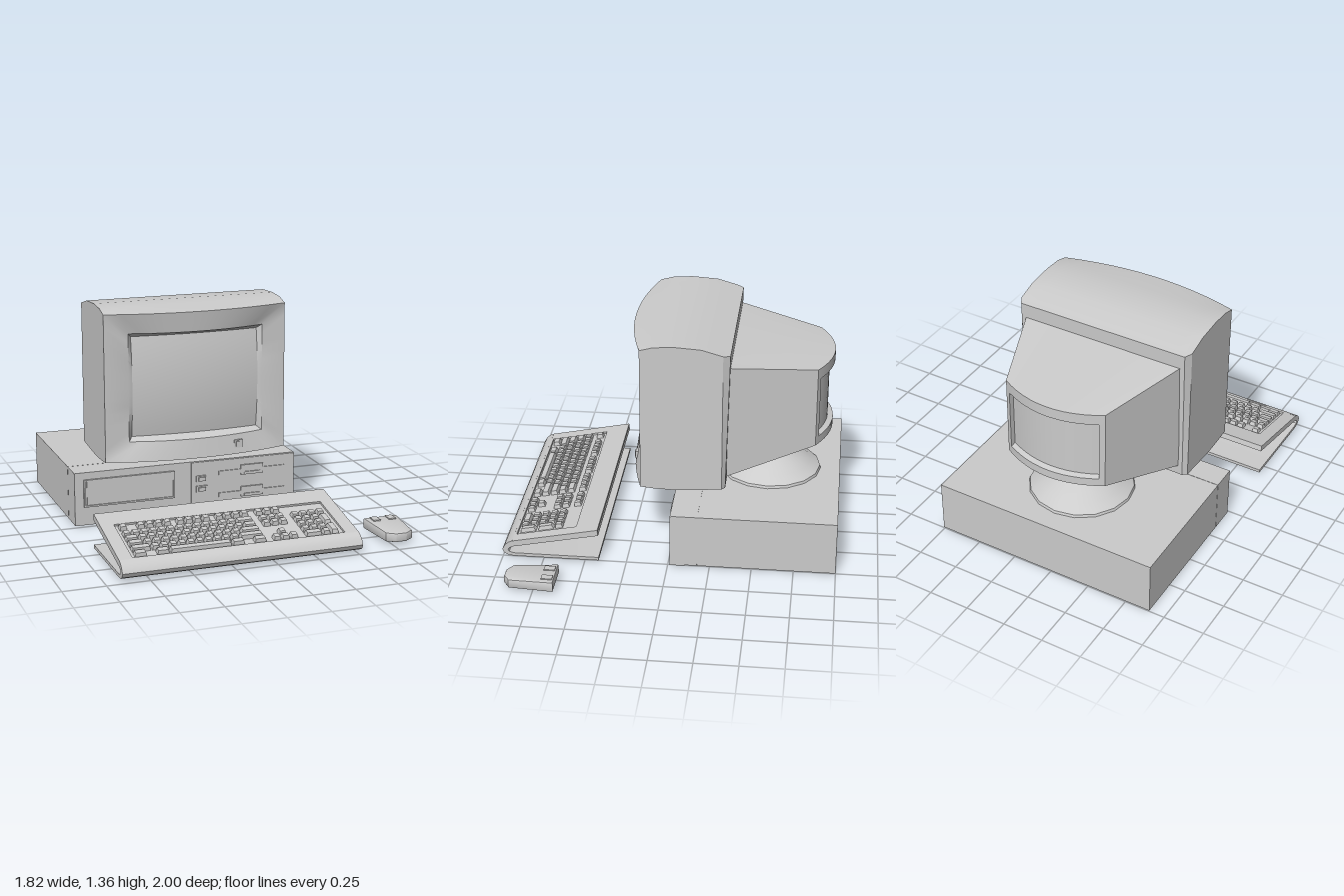
import * as THREE from 'three';
import { mergeGeometries, toCreasedNormals } from 'three/addons/utils/BufferGeometryUtils.js';

const grey = new THREE.MeshStandardMaterial({ color: 0xcccccc });

function add(parent, name, geometry) {
  const mesh = new THREE.Mesh(geometry, grey);
  mesh.name = name;
  parent.add(mesh);
  return mesh;
}

// Box given by its limits
function block(parent, name, x0, x1, y0, y1, z0, z1) {
  const g = new THREE.BoxGeometry(x1 - x0, y1 - y0, z1 - z0);
  g.translate((x0 + x1) / 2, (y0 + y1) / 2, (z0 + z1) / 2);
  return add(parent, name, g);
}

// Rectangular cross-section, counter-clockwise from the front; z may be a function of x and y
function ring(hw, y0, y1, z, n = 12) {
  const corners = [[-hw, y0], [hw, y0], [hw, y1], [-hw, y1]];
  const points = [];
  for (let s = 0; s < 4; s++) {
    const [ax, ay] = corners[s], [bx, by] = corners[(s + 1) % 4];
    for (let i = 0; i < n; i++) {
      const x = ax + (bx - ax) * i / n, y = ay + (by - ay) * i / n;
      points.push([x, y, typeof z === 'function' ? z(x, y) : z]);
    }
  }
  return points;
}

// Skin over rings listed from back to front
function loft(rings) {
  const n = rings[0].length, index = [];
  for (let r = 0; r < rings.length - 1; r++) {
    for (let j = 0; j < n; j++) {
      const a = r * n + j, b = r * n + (j + 1) % n;
      index.push(a, b, b + n, a, b + n, a + n);
    }
  }
  const g = new THREE.BufferGeometry();
  g.setAttribute('position', new THREE.Float32BufferAttribute(rings.flat(2), 3));
  g.setIndex(index);
  return toCreasedNormals(g, 0.5);
}

// Curved panel whose depth follows a function
function curvedPanel(hw, y0, y1, z, facesBack = false) {
  const g = new THREE.PlaneGeometry(2 * hw, y1 - y0, 12, 12);
  if (facesBack) g.rotateY(Math.PI);
  g.translate(0, (y0 + y1) / 2, 0);
  const p = g.attributes.position;
  for (let i = 0; i < p.count; i++) p.setZ(i, z(p.getX(i), p.getY(i)));
  g.computeVertexNormals();
  return g;
}

function buildMonitor() {
  const g = new THREE.Group();
  g.name = 'monitor';
  g.position.x = -0.205;
  const rimZ = x => 0.18 + 0.085 * (1 - (x / 0.56) ** 2);
  const innerZ = x => 0.18 + 0.068 * (1 - (x / 0.42) ** 2);
  const screenZ = (x, y) => 0.2 - 0.025 * (x / 0.39) ** 2 - 0.025 * ((y - 0.88) / 0.3) ** 2;
  const backZ = (x, y) => -0.325 - 0.02 * (y - 0.45) / 0.85;

  // Front shell running into the sloped bezel and screen surround
  add(g, 'monitorShell', loft([
    ring(0.4, 0.6, 1.1, backZ),
    ring(0.535, 0.45, 1.303, backZ),
    ring(0.56, 0.45, 1.31, -0.305),
    ring(0.56, 0.44, 1.345, -0.18),
    ring(0.56, 0.43, 1.355, -0.02),
    ring(0.56, 0.434, 1.347, 0.1),
    ring(0.56, 0.442, 1.325, rimZ),
  ]));
  add(g, 'bezel', loft([
    ring(0.56, 0.442, 1.325, rimZ),
    ring(0.415, 0.558, 1.205, innerZ),
    ring(0.39, 0.58, 1.18, screenZ),
  ]));
  add(g, 'screen', curvedPanel(0.39, 0.58, 1.18, screenZ));
  block(g, 'powerButtonFrame', 0.22, 0.272, 0.478, 0.525, 0.19, 0.245);
  block(g, 'powerButton', 0.229, 0.263, 0.486, 0.517, 0.19, 0.25);

  // Tapered rear housing with a recessed curved panel
  const rearZ = x => -0.845 - 0.095 * (1 - (x / 0.32) ** 2);
  const recessZ = x => rearZ(x) + 0.033;
  add(g, 'rearHousing', loft([
    ring(0.285, 0.71, 1.07, recessZ),
    ring(0.29, 0.7, 1.08, rearZ),
    ring(0.32, 0.65, 1.145, rearZ),
    ring(0.51, 0.513, 1.215, -0.33),
  ]));
  add(g, 'rearPanel', curvedPanel(0.285, 0.71, 1.07, recessZ, true));

  // Swivel foot, collar and tilt ball
  const profile = [[0, 0.336], [0.315, 0.336], [0.31, 0.352], [0.25, 0.39], [0.19, 0.427],
    [0.134, 0.455], [0.138, 0.465], [0.134, 0.478], [0.095, 0.48], [0.13, 0.505],
    [0.16, 0.55], [0.178, 0.61], [0.17, 0.66]];
  const stand = new THREE.LatheGeometry(profile.map(p => new THREE.Vector2(...p)), 16);
  add(g, 'swivelStand', toCreasedNormals(stand, 0.5)).position.z = -0.565;
  return g;
}

function buildComputer() {
  const g = new THREE.Group();
  g.name = 'computer';
  block(g, 'case', -0.905, 0.505, 0.005, 0.334, -1, -0.178);
  block(g, 'frontCover', -0.905, 0.505, 0.005, 0.334, -0.175, -0.02);
  block(g, 'seam', -0.903, 0.503, 0.007, 0.332, -0.18, -0.17);
  block(g, 'driveModule', -0.17, 0.505, 0, 0.33, -0.1, -0.012);

  // Blank bay cover with a raised frame
  block(g, 'bayCover', -0.83, -0.29, 0.13, 0.28, -0.05, -0.013);
  for (const y of [0.12, 0.28]) block(g, 'bayFrame', -0.85, -0.28, y, y + 0.01, -0.05, -0.005);
  for (const x of [-0.85, -0.29]) block(g, 'bayFrame', x, x + 0.01, 0.12, 0.29, -0.05, -0.005);

  // Two disk drives, each with a push button beside it
  for (const y of [0.25, 0.11]) {
    block(g, 'driveSlot', 0.005, 0.44, y - 0.014, y + 0.012, -0.05, -0.005);
    block(g, 'driveGrip', 0.15, 0.295, y - 0.024, y + 0.038, -0.05, 0);
    block(g, 'driveLatch', 0.17, 0.275, y - 0.018, y - 0.004, -0.05, 0.008);
  }
  for (const y of [0.205, 0.14]) {
    block(g, 'buttonFrame', -0.14, -0.07, y, y + 0.04, -0.05, -0.004);
    block(g, 'frontButton', -0.128, -0.082, y + 0.008, y + 0.032, -0.05, 0.008);
  }
  return g;
}

// Key cap that narrows towards its top
function keyCap(x, z, w, d) {
  const g = new THREE.BoxGeometry(w, 0.025, d);
  const p = g.attributes.position;
  for (let i = 0; i < p.count; i++) {
    if (p.getY(i) > 0) {
      p.setX(i, p.getX(i) - Math.sign(p.getX(i)) * 0.005);
      p.setZ(i, p.getZ(i) * 0.78);
    }
  }
  g.computeVertexNormals();
  return g.translate(x, 0, z);
}

function buildKeyboard() {
  const g = new THREE.Group();
  g.name = 'keyboard';

  // Folded body: sloping deck, rounded front edge and flat foot plate
  const outline = [[0.42, 0.207], [0.938, 0.102], [0.938, 0.115], [0.962, 0.104], [0.985, 0.083],
    [1, 0.055], [0.988, 0.03], [0.965, 0.018], [0.93, 0.013], [0.415, 0.013], [0.415, 0.033],
    [0.93, 0.033], [0.958, 0.042], [0.965, 0.055], [0.955, 0.068], [0.93, 0.078], [0.415, 0.183]];
  const body = new THREE.ExtrudeGeometry(new THREE.Shape(outline.map(p => new THREE.Vector2(...p))),
    { depth: 1.43, bevelEnabled: false });
  body.rotateY(-Math.PI / 2).translate(0.52, 0, 0);
  add(g, 'keyboardBody', toCreasedNormals(body, 0.6));

  // Sloping deck: local z runs down towards the front edge
  const deck = new THREE.Group();
  deck.name = 'keyDeck';
  deck.position.set(0, 0.22, 0.42);
  deck.rotation.x = Math.atan2(0.105, 0.515);
  g.add(deck);
  const along = z => (z - 0.42) * 1.02;
  const rect = (T, x0, x1, z0, z1) => new T([[x0, z0], [x1, z0], [x1, z1], [x0, z1]]
    .map(p => new THREE.Vector2(...p)));
  const plate = rect(THREE.Shape, -0.91, 0.52, 0, 0.53);
  plate.holes.push(rect(THREE.Path, -0.83, 0.44, along(0.56), along(0.925)));
  add(deck, 'deckPlate', new THREE.ExtrudeGeometry(plate, { depth: 0.013, bevelEnabled: false })
    .rotateX(Math.PI / 2));

  // Key rows: widths in key units, negative for a gap
  const u = 0.0523, startX = -0.815, ones = n => Array(n).fill(1);
  const rows = [
    [0.598, 1, -1, ...ones(4), -0.5, ...ones(4), -0.5, ...ones(4), -0.7, ...ones(3)],
    [0.672, ...ones(13), 2, -0.7, ...ones(3), -0.8, ...ones(4)],
    [0.726, 1.5, ...ones(12), 1.5, -0.7, ...ones(3), -0.8, ...ones(3)],
    [0.78, 1.75, ...ones(11), 2.25, -4.5, ...ones(3)],
    [0.835, 2.25, ...ones(10), 2.75, -1.7, 1, -1.8, ...ones(3)],
    [0.889, 1.5, -1, 1.5, 7, 1.5, -1, 1.5, -0.7, ...ones(3), -0.8, 2, 1],
  ];
  const keys = [];
  for (const [z, ...widths] of rows) {
    let x = startX;
    for (const w of widths) {
      if (w > 0) keys.push(keyCap(x + w * u / 2, along(z), w * u - 0.01, 0.044));
      x += Math.abs(w) * u;
    }
  }
  // Tall keys of the number pad
  for (const z of [0.753, 0.862]) keys.push(keyCap(startX + 23 * u, along(z), u - 0.01, 0.098));
  add(deck, 'keys', mergeGeometries(keys));
  return g;
}

function buildMouse() {
  const g = new THREE.Group();
  g.name = 'mouse';
  const half = [[0.095, 0.635], [0.075, 0.885], [0.03, 0.915]];
  const points = [...half, ...half.map(([x, z]) => [-x, z]).reverse()];
  const body = new THREE.ExtrudeGeometry(new THREE.Shape(points.map(p => new THREE.Vector2(...p))),
    { depth: 0.045, bevelThickness: 0.01, bevelSize: 0.01, bevelSegments: 2 });
  body.rotateX(Math.PI / 2).translate(0.8, 0.07, 0);
  // Top falls away gently towards the palm end
  const p = body.attributes.position;
  for (let i = 0; i < p.count; i++) {
    if (p.getY(i) > 0.05) p.setY(i, p.getY(i) - 0.035 * Math.max(0, p.getZ(i) - 0.64));
  }
  add(g, 'mouseBody', toCreasedNormals(body, 0.6));
  for (const x of [-0.05, 0.05]) block(g, 'mouseButton', 0.8 + x - 0.022, 0.8 + x + 0.022, 0.06, 0.085, 0.635, 0.7);
  return g;
}

export function createModel() {
  const model = new THREE.Group();
  model.name = 'desktopComputer';
  model.add(buildComputer(), buildMonitor(), buildKeyboard(), buildMouse());
  return model;
}
